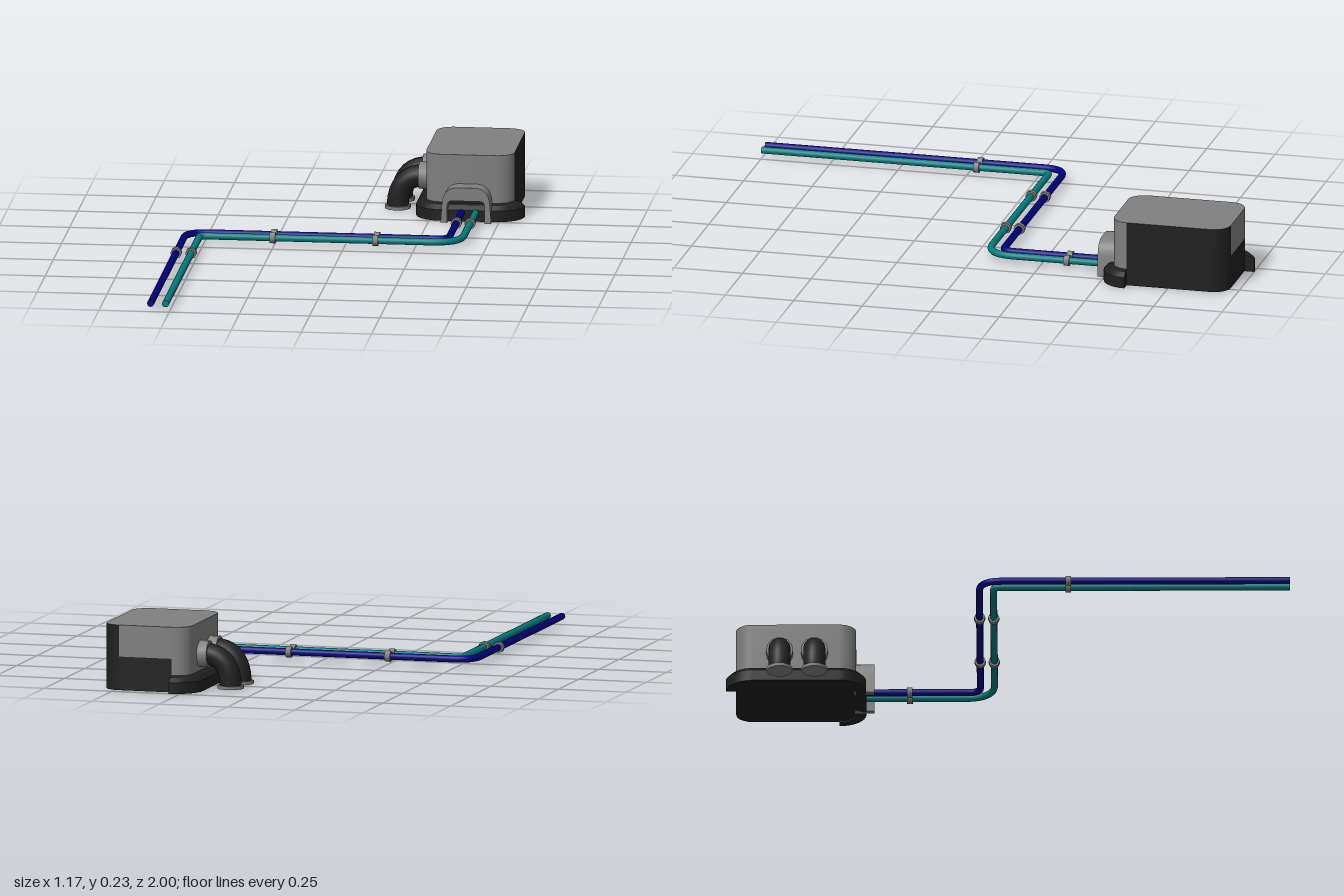
import * as THREE from 'three';
import { toCreasedNormals } from 'three/addons/utils/BufferGeometryUtils.js';

const mat = (color) => new THREE.MeshStandardMaterial({ color, side: THREE.DoubleSide });
const V = (x, y, z) => new THREE.Vector3(x, y, z);

// Rounded-rectangle plan of the housing: back -> left -> front -> right
const R = 0.06, STEPS = 8, TOP = 0.233;
const outline = [];
[[0.29, -0.905], [0.29, -0.6], [0.485, -0.6], [0.485, -0.905]].forEach(([cx, cz], k) => {
  for (let i = 0; i <= STEPS; i++) {
    const a = -Math.PI / 2 * (1 + k + i / STEPS);
    outline.push({ cx, cz, nx: Math.cos(a), nz: Math.sin(a) });
  }
});
const at = (i, off, y) => {
  const p = outline[i % outline.length];
  return [p.cx + p.nx * (R + off), y, p.cz + p.nz * (R + off)];
};

// Sweeps an [offset, height] profile along outline points from..to
function sweep(profile, from, to, capped = false) {
  const pos = [];
  for (let i = from; i < to; i++) {
    for (let j = 0; j < profile.length - 1; j++) {
      const a = at(i, ...profile[j]), b = at(i + 1, ...profile[j]);
      const c = at(i + 1, ...profile[j + 1]), d = at(i, ...profile[j + 1]);
      pos.push(...a, ...b, ...c, ...a, ...c, ...d);
    }
  }
  if (capped) {
    for (let j = 1; j < profile.length - 1; j++) {
      pos.push(...at(from, ...profile[0]), ...at(from, ...profile[j]), ...at(from, ...profile[j + 1]));
      pos.push(...at(to, ...profile[0]), ...at(to, ...profile[j + 1]), ...at(to, ...profile[j]));
    }
  }
  const g = new THREE.BufferGeometry();
  g.setAttribute('position', new THREE.Float32BufferAttribute(pos, 3));
  return toCreasedNormals(g, 0.5);
}

// Flat plate filling the outline, facing up or down
function plate(up) {
  const s = up ? -1 : 1;
  const pts = outline.map((_, i) => { const p = at(i, 0, 0); return new THREE.Vector2(p[0], s * p[2]); });
  return new THREE.ShapeGeometry(new THREE.Shape(pts)).rotateX(s * Math.PI / 2);
}

// Arch with a flat foot and rounded top
function arch(target, x0, x1, h, r) {
  target.moveTo(x0, 0);
  target.lineTo(x1, 0);
  target.lineTo(x1, h - r);
  target.quadraticCurveTo(x1, h, x1 - r, h);
  target.lineTo(x0 + r, h);
  target.quadraticCurveTo(x0, h, x0, h - r);
  target.lineTo(x0, 0);
  return target;
}

export function createModel() {
  const root = new THREE.Group();
  const grey = mat(0x808080), dark = mat(0x202020), navy = mat(0x000080), teal = mat(0x008080);
  const add = (name, geometry, material, parent = root) => {
    const m = new THREE.Mesh(geometry, material);
    m.name = name;
    parent.add(m);
    return m;
  };

  // Housing
  const housing = new THREE.Group();
  housing.name = 'housing';
  root.add(housing);
  add('shellWall', sweep([[0, 0], [0, TOP]], 0, 26), grey, housing);
  add('darkSideWall', sweep([[0, 0], [0, TOP]], 26, 35), dark, housing);
  add('lowerBackWall', sweep([[0, 0], [0, 0.12]], 35, 36), dark, housing);
  add('backPanel', sweep([[0, 0.12], [0, TOP]], 35, 36), grey, housing);
  add('lid', plate(true), grey, housing).position.y = TOP;
  add('underside', plate(false), dark, housing).position.y = 0.002;
  add('baseSkirt', sweep([[0, 0], [0.036, 0], [0.036, 0.04], [0.02, 0.055], [0, 0.06], [0, 0]], 0, 26, true), dark, housing);

  // Front hood around the pipe entry
  const hoodShape = new THREE.Shape();
  hoodShape.moveTo(0.295, 0);
  hoodShape.lineTo(0.318, 0);
  hoodShape.lineTo(0.318, 0.06);
  hoodShape.quadraticCurveTo(0.318, 0.08, 0.338, 0.08);
  hoodShape.lineTo(0.432, 0.08);
  hoodShape.quadraticCurveTo(0.452, 0.08, 0.452, 0.06);
  hoodShape.lineTo(0.452, 0);
  hoodShape.lineTo(0.475, 0);
  hoodShape.lineTo(0.47, 0.075);
  hoodShape.quadraticCurveTo(0.462, 0.128, 0.415, 0.128);
  hoodShape.lineTo(0.355, 0.128);
  hoodShape.quadraticCurveTo(0.308, 0.128, 0.3, 0.075);
  const hood = new THREE.ExtrudeGeometry(hoodShape, { depth: 0.07, bevelEnabled: false, curveSegments: 8 });
  add('entryHood', toCreasedNormals(hood, 0.5), grey).position.z = -0.545;
  const recess = new THREE.ShapeGeometry(arch(new THREE.Shape(), 0.31, 0.46, 0.09, 0.02));
  add('entryRecess', recess, dark).position.z = -0.535;

  // Two elbow outlets on the side
  for (const z of [-0.81, -0.687]) {
    const outlet = new THREE.Group();
    outlet.name = 'elbowOutlet';
    outlet.position.z = z;
    root.add(outlet);
    const bend = new THREE.CubicBezierCurve3(V(0.21, 0.12, 0), V(0.155, 0.12, 0), V(0.118, 0.085, 0), V(0.118, 0.005, 0));
    add('elbow', new THREE.TubeGeometry(bend, 10, 0.039, 14), dark, outlet);
    const collar = add('collar', new THREE.CylinderGeometry(0.048, 0.048, 0.04, 14), grey, outlet);
    collar.rotation.z = Math.PI / 2;
    collar.position.set(0.215, 0.12, 0);
    add('flange', new THREE.CylinderGeometry(0.047, 0.047, 0.012, 10), grey, outlet).position.set(0.118, 0.006, 0);
  }

  // Pair of supply pipes with two bends each
  const Y = 0.03;
  const pipe = (name, xa, zc, xb, r1, r2, material) => {
    const path = new THREE.CurvePath();
    const line = (a, b) => path.add(new THREE.LineCurve3(a, b));
    const turn = (a, b, c) => path.add(new THREE.QuadraticBezierCurve3(a, b, c));
    const p = [V(xa, Y, -0.53), V(xa, Y, zc - r1), V(xa - r1, Y, zc), V(xb + r2, Y, zc), V(xb, Y, zc + r2), V(xb, Y, 1)];
    line(p[0], p[1]);
    turn(p[1], V(xa, Y, zc), p[2]);
    line(p[2], p[3]);
    turn(p[3], V(xb, Y, zc), p[4]);
    line(p[4], p[5]);
    add(name, new THREE.TubeGeometry(path, 240, 0.0125, 12), material);
    add(name + 'End', new THREE.CircleGeometry(0.0125, 12), material).position.copy(p[5]);

    // Clamps along the runs
    const clamp = (x, z, alongX) => {
      const c = add('pipeClamp', new THREE.CylinderGeometry(0.02, 0.02, 0.02, 8).rotateX(Math.PI / 2), grey);
      c.position.set(x, Y, z);
      if (alongX) c.rotation.y = Math.PI / 2;
    };
    clamp(xa, -0.35, false);
    clamp(0.113, zc, true);
    clamp(-0.253, zc, true);
    clamp(xb, 0.215, false);
  };
  pipe('navyPipe', 0.366, -0.1, -0.566, 0.04, 0.08, navy);
  pipe('tealPipe', 0.415, -0.05, -0.513, 0.11, 0.02, teal);

  return root;
}
